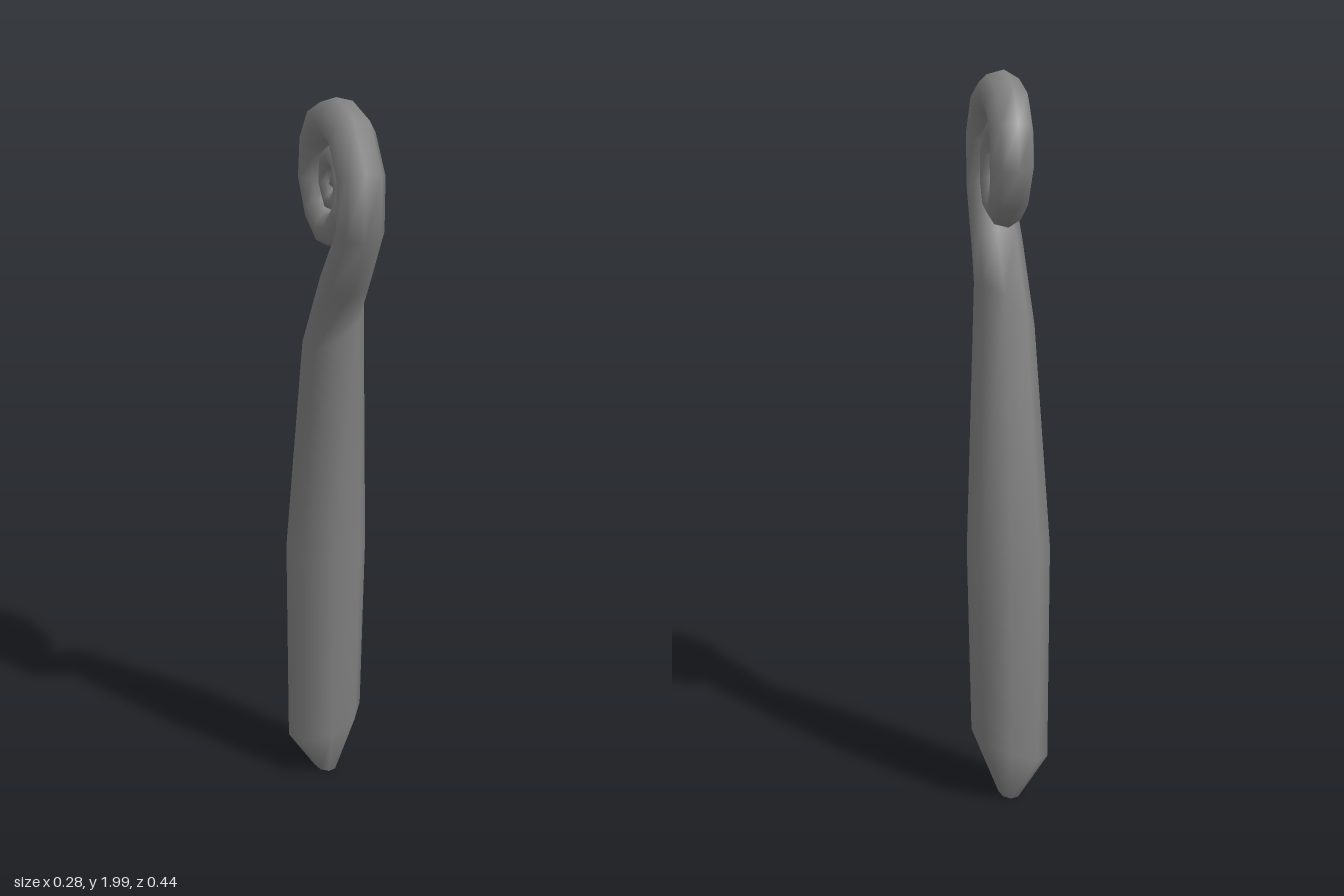
import * as THREE from 'three';

const SIDES = 8;
const PHASE = -0.14; // turn of the ring corners about the centre line
const ALONG = new THREE.Vector3(0.38, 0, 0.925); // horizontal axis of the curl plane
const ACROSS = new THREE.Vector3(0.925, 0, -0.38); // normal of the curl plane
const UP = new THREE.Vector3(0, 1, 0);

// Centre line: [z, y, radius, ring tilt, width across the curl plane]
const STEM = [
  [-0.106, 0.012, 0.05, 0, 0.6], [-0.11, 0.16, 0.106, 0.4], [-0.095, 0.72, 0.114],
  [-0.038, 1.385, 0.078, 0.8], [0.06, 1.54, 0.07], [0.16, 1.685, 0.064],
];
const CURL = [
  [0.164, 1.825, 0.064], [0.098, 1.92, 0.064], [0.008, 1.944, 0.062], [-0.08, 1.92, 0.062],
  [-0.13, 1.855, 0.061], [-0.144, 1.765, 0.06], [-0.108, 1.686, 0.056], [-0.05, 1.645, 0.052],
  [0.015, 1.657, 0.049], [0.065, 1.705, 0.045], [0.078, 1.78, 0.042], [0.05, 1.838, 0.039],
  [0, 1.853, 0.037], [-0.05, 1.828, 0.035], [-0.06, 1.77, 0.033], [-0.03, 1.725, 0.031],
  [0.015, 1.73, 0.028], [0.033, 1.77, 0.025], [0.01, 1.8, 0.022], [-0.015, 1.775, 0.02],
];

// Tapered tube through the given centre line, closed at both ends
function taperedTube(rows) {
  const pts = rows.map(([z, y]) => new THREE.Vector2(z / ALONG.z, y));
  const place = (p) => new THREE.Vector3()
    .addScaledVector(ALONG, p.x).addScaledVector(UP, p.y).addScaledVector(ACROSS, 0.008);
  const pos = [], index = [];
  const last = rows.length - 1;

  rows.forEach(([, , r, tilt = 0, width = 1], i) => {
    // Tangent halfway between the neighbouring segments
    const before = pts[i].clone().sub(pts[Math.max(i - 1, 0)]).normalize();
    const after = pts[Math.min(i + 1, last)].clone().sub(pts[i]).normalize();
    const t = before.add(after).normalize();
    const tangent = ALONG.clone().multiplyScalar(t.x).addScaledVector(UP, t.y);
    const side = ALONG.clone().multiplyScalar(t.y).addScaledVector(UP, -t.x);
    for (let j = 0; j < SIDES; j++) {
      const a = (j / SIDES) * Math.PI * 2 + PHASE;
      const v = place(pts[i])
        .addScaledVector(side, r * Math.cos(a))
        .addScaledVector(ACROSS, r * width * Math.sin(a))
        .addScaledVector(tangent, tilt * r * Math.sin(a));
      pos.push(v.x, v.y, v.z);
    }
  });

  for (let i = 0; i < last; i++) {
    for (let j = 0; j < SIDES; j++) {
      const k = (j + 1) % SIDES;
      const a = i * SIDES + j, b = i * SIDES + k;
      index.push(a, b, b + SIDES, a, b + SIDES, a + SIDES);
    }
  }

  // End caps
  const base = pos.length / 3;
  pos.push(...place(pts[0]).toArray(), ...place(pts[last]).toArray());
  for (let j = 0; j < SIDES; j++) {
    const k = (j + 1) % SIDES;
    index.push(base, k, j, base + 1, last * SIDES + j, last * SIDES + k);
  }

  const geo = new THREE.BufferGeometry();
  geo.setAttribute('position', new THREE.Float32BufferAttribute(pos, 3));
  geo.setIndex(index);
  geo.computeVertexNormals();
  return geo;
}

export function createModel() {
  const group = new THREE.Group();
  group.name = 'curledFernShoot';

  // One continuous shoot: stem rising into the rolled tip
  const shoot = new THREE.Mesh(
    taperedTube([...STEM, ...CURL]),
    new THREE.MeshStandardMaterial({ color: 0x828282 }),
  );
  shoot.name = 'stemAndCurl';
  group.add(shoot);
  return group;
}
